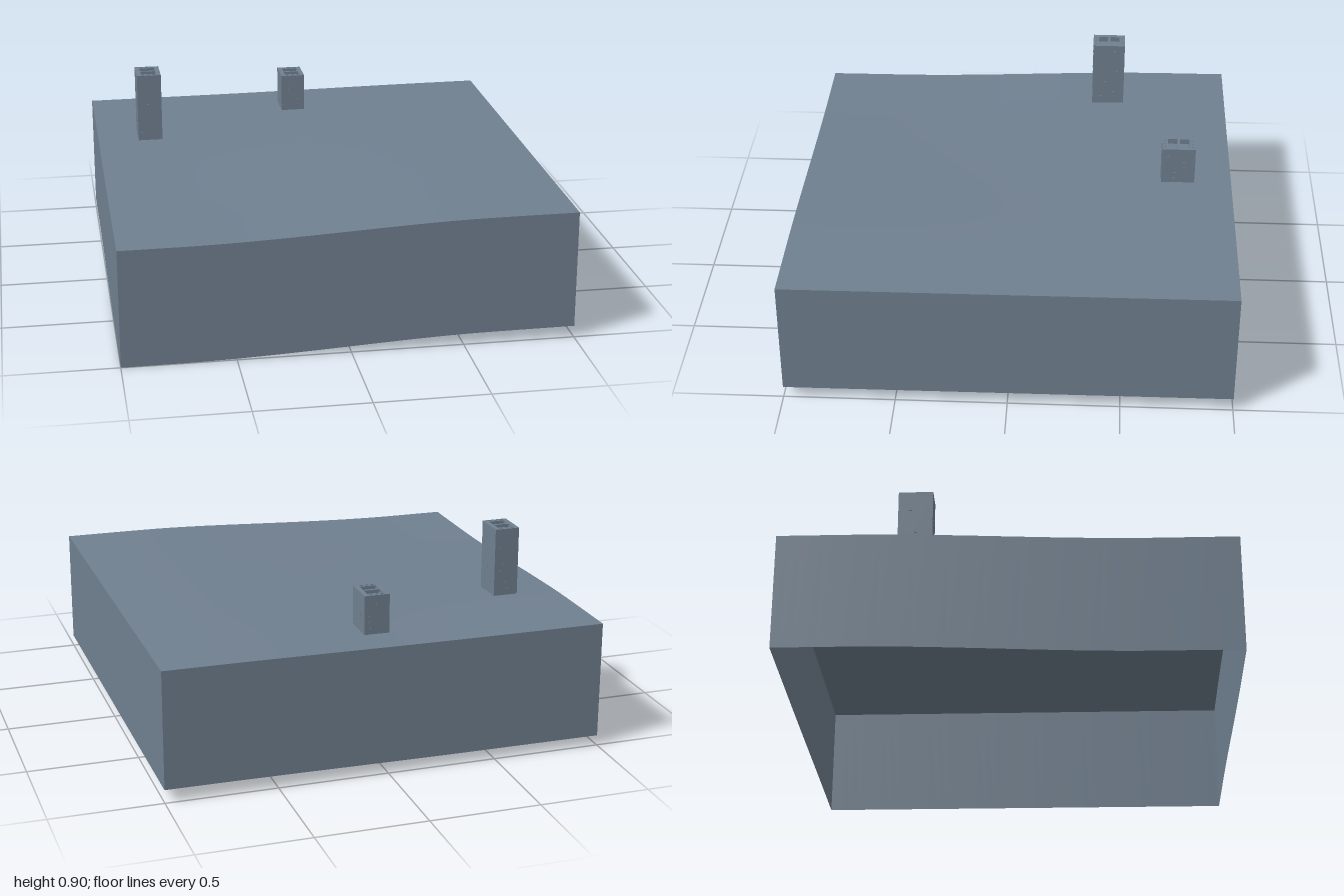
import * as THREE from 'three';
import { mergeGeometries } from 'three/addons/utils/BufferGeometryUtils.js';

const DEPTH = 0.535; // height of the skirt walls
const SEGMENTS = 40;

const slate = new THREE.MeshStandardMaterial({ color: 0x708090, side: THREE.DoubleSide });
slate.name = 'slate grey';

// Ground height: nearly level, dipping smoothly towards the front corner at -x
function groundHeight(x, z) {
  const dip = (1 - THREE.MathUtils.smoothstep(x, -0.75, 0.6)) * THREE.MathUtils.smoothstep(z, -0.7, 0.65);
  const level = 0.588 + 0.004 * x - 0.004 * z;
  return level - 0.045 * dip - 0.006 * (1 - THREE.MathUtils.smoothstep(x, -0.4, 0.8)) * (1 - dip);
}

function addMesh(parent, geometry, name) {
  const mesh = new THREE.Mesh(geometry, slate);
  mesh.name = name;
  parent.add(mesh);
  return mesh;
}

// Gently rolling top sheet
function terrainGeometry() {
  const geometry = new THREE.PlaneGeometry(2, 2, SEGMENTS, SEGMENTS).rotateX(-Math.PI / 2);
  const p = geometry.attributes.position;
  for (let i = 0; i < p.count; i++) p.setY(i, groundHeight(p.getX(i), p.getZ(i)));
  geometry.computeVertexNormals();
  return geometry;
}

// One skirt wall, following the ground along its top and bottom edges
function wallGeometry(quarterTurns) {
  const geometry = new THREE.PlaneGeometry(2, DEPTH, SEGMENTS, 1);
  geometry.translate(0, 0, 1).rotateY(quarterTurns * Math.PI / 2);
  const p = geometry.attributes.position;
  const uv = geometry.attributes.uv;
  for (let i = 0; i < p.count; i++) {
    const top = groundHeight(p.getX(i), p.getZ(i));
    p.setY(i, uv.getY(i) > 0.5 ? top : Math.max(0, top - DEPTH));
  }
  return geometry;
}

// Thin raised bricks scattered over the four sides of a shaft
function brickGeometry(width, depth, bottom, top, seed) {
  let state = seed;
  const random = () => (state = (state * 16807) % 2147483647) / 2147483647;
  const bricks = [];
  for (let side = 0; side < 4; side++) {
    const across = side % 2 ? depth : width;
    const out = (side % 2 ? width : depth) / 2;
    for (let y = bottom + 0.03; y < top - 0.02; y += 0.028) {
      const brick = new THREE.BoxGeometry(0.014, 0.008, 0.003);
      brick.translate((random() - 0.5) * (across - 0.03), y, out);
      bricks.push(brick.rotateY(side * Math.PI / 2));
    }
  }
  return mergeGeometries(bricks);
}

function rectangle(path, x0, y0, x1, y1) {
  path.moveTo(x0, y0).lineTo(x1, y0).lineTo(x1, y1).lineTo(x0, y1).closePath();
  return path;
}

function createChimney(name, x, z, top, seed) {
  const chimney = new THREE.Group();
  chimney.name = name;
  chimney.position.set(x, 0, z);
  const width = 0.115, depth = 0.155, bottom = 0.54, rim = 0.025;

  // Solid shaft, sunk slightly into the ground
  const shaftTop = top - rim;
  const shaft = new THREE.BoxGeometry(width, shaftTop - bottom, depth);
  shaft.translate(0, (shaftTop + bottom) / 2, 0);
  addMesh(chimney, shaft, 'chimneyShaft');

  // Rim around two flue openings
  const outline = rectangle(new THREE.Shape(), -width / 2, -depth / 2, width / 2, depth / 2);
  for (const s of [-1, 1]) {
    outline.holes.push(rectangle(new THREE.Path(), -0.036, s * 0.028 - 0.022, 0.036, s * 0.028 + 0.022));
  }
  const crown = new THREE.ExtrudeGeometry(outline, { depth: rim, bevelEnabled: false });
  crown.rotateX(-Math.PI / 2).translate(0, shaftTop, 0);
  addMesh(chimney, crown, 'chimneyRim');

  // Small studs along the front and back of the rim
  const studs = [];
  for (const s of [-1, 1]) {
    for (const i of [-1, 0, 1]) {
      studs.push(new THREE.BoxGeometry(0.014, 0.004, 0.008).translate(i * 0.027, top + 0.001, s * 0.064));
    }
  }
  addMesh(chimney, mergeGeometries(studs), 'rimStuds');

  addMesh(chimney, brickGeometry(width, depth, 0.58, top, seed), 'raisedBricks');
  return chimney;
}

export function createModel() {
  const model = new THREE.Group();
  model.name = 'terrainBlock';

  addMesh(model, terrainGeometry(), 'terrainTop');
  ['frontWall', 'leftWall', 'backWall', 'rightWall'].forEach((name, i) => {
    addMesh(model, wallGeometry(i), name);
  });

  model.add(createChimney('tallChimney', -0.75, -0.417, 0.897, 11));
  model.add(createChimney('shortChimney', -0.002, -0.75, 0.765, 29));
  return model;
}
